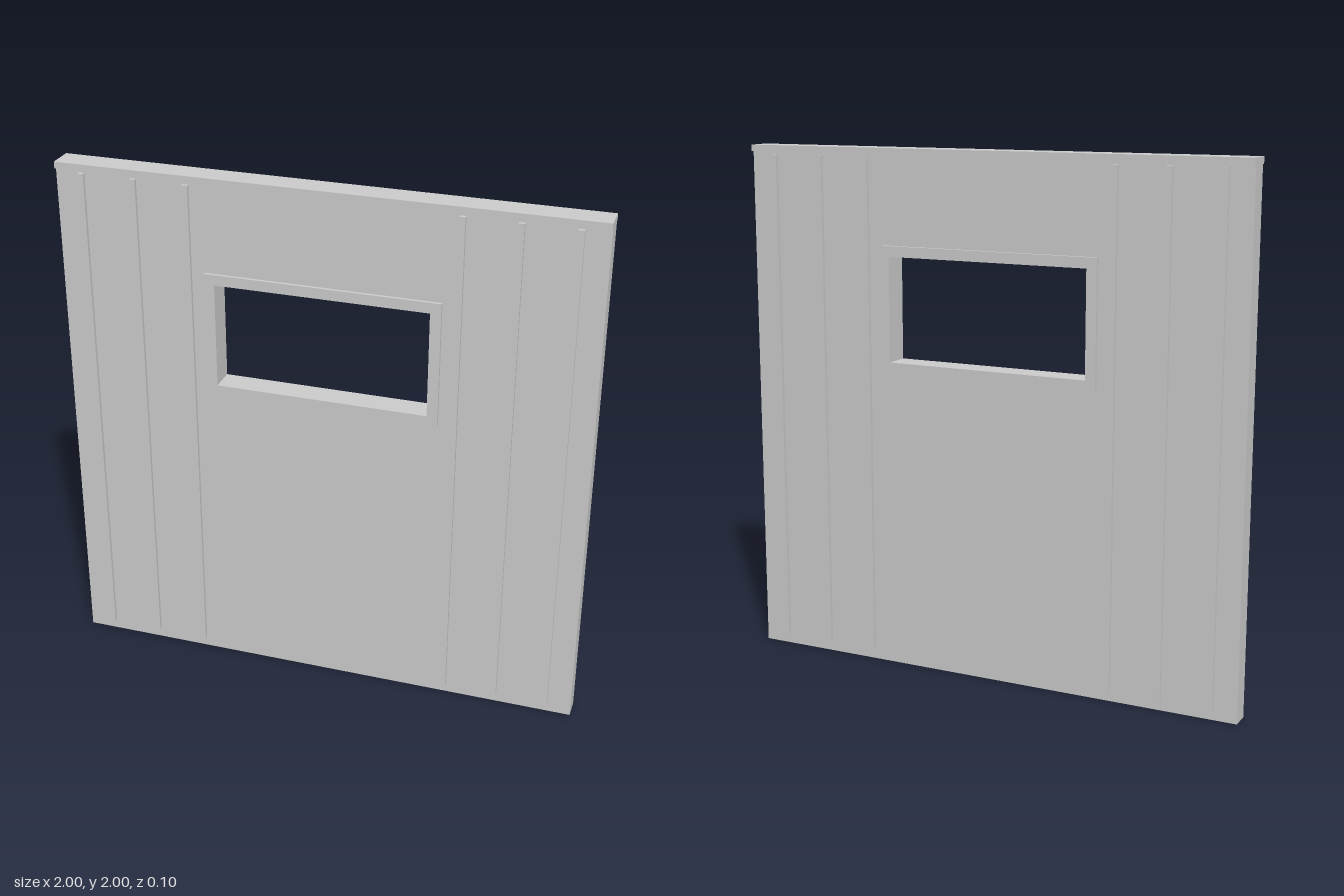
import * as THREE from 'three';

const material = new THREE.MeshStandardMaterial({ color: 0xcccccc, flatShading: true });

// Rectangular panel with a rectangular hole, centred on z = 0
function holedPanel(name, [x0, y0, x1, y1], [hx0, hy0, hx1, hy1], depth) {
  const shape = new THREE.Shape()
    .moveTo(x0, y0).lineTo(x1, y0).lineTo(x1, y1).lineTo(x0, y1).closePath();
  shape.holes.push(new THREE.Path()
    .moveTo(hx0, hy0).lineTo(hx0, hy1).lineTo(hx1, hy1).lineTo(hx1, hy0).closePath());
  const geometry = new THREE.ExtrudeGeometry(shape, { depth, bevelEnabled: false });
  geometry.translate(0, 0, -depth / 2);
  const mesh = new THREE.Mesh(geometry, material);
  mesh.name = name;
  return mesh;
}

function box(name, w, h, d, x, y, z) {
  const mesh = new THREE.Mesh(new THREE.BoxGeometry(w, h, d), material);
  mesh.name = name;
  mesh.position.set(x, y, z);
  return mesh;
}

export function createModel() {
  const group = new THREE.Group();
  group.name = 'wallPanel';
  const wallDepth = 0.075, trimDepth = 0.1;
  const opening = [-0.4, 1.2, 0.4, 1.6];

  // Wall with window opening
  group.add(holedPanel('wall', [-1, 0, 1, 1.975], opening, wallDepth));

  // Window frame trim, standing proud on the front and back
  const trim = (trimDepth - wallDepth) / 2;
  for (const side of [1, -1]) {
    const frame = holedPanel(side > 0 ? 'frontWindowFrame' : 'backWindowFrame',
      [-0.44, 1.165, 0.44, 1.64], opening, trim);
    frame.position.z = side * (wallDepth + trim) / 2;
    group.add(frame);
  }

  // Top rail
  group.add(box('topRail', 2, 0.025, trimDepth, 0, 1.9875, 0));

  // Vertical ribs on both faces
  const ribDepth = 0.0135;
  for (const face of [1, -1]) {
    for (const side of [1, -1]) {
      for (const x of [0.5, 0.7, 0.9]) {
        group.add(box(face > 0 ? 'frontRib' : 'backRib', 0.022, 1.925, ribDepth,
          side * x, 1.0025, face * (wallDepth + ribDepth) / 2));
      }
    }
  }
  return group;
}
